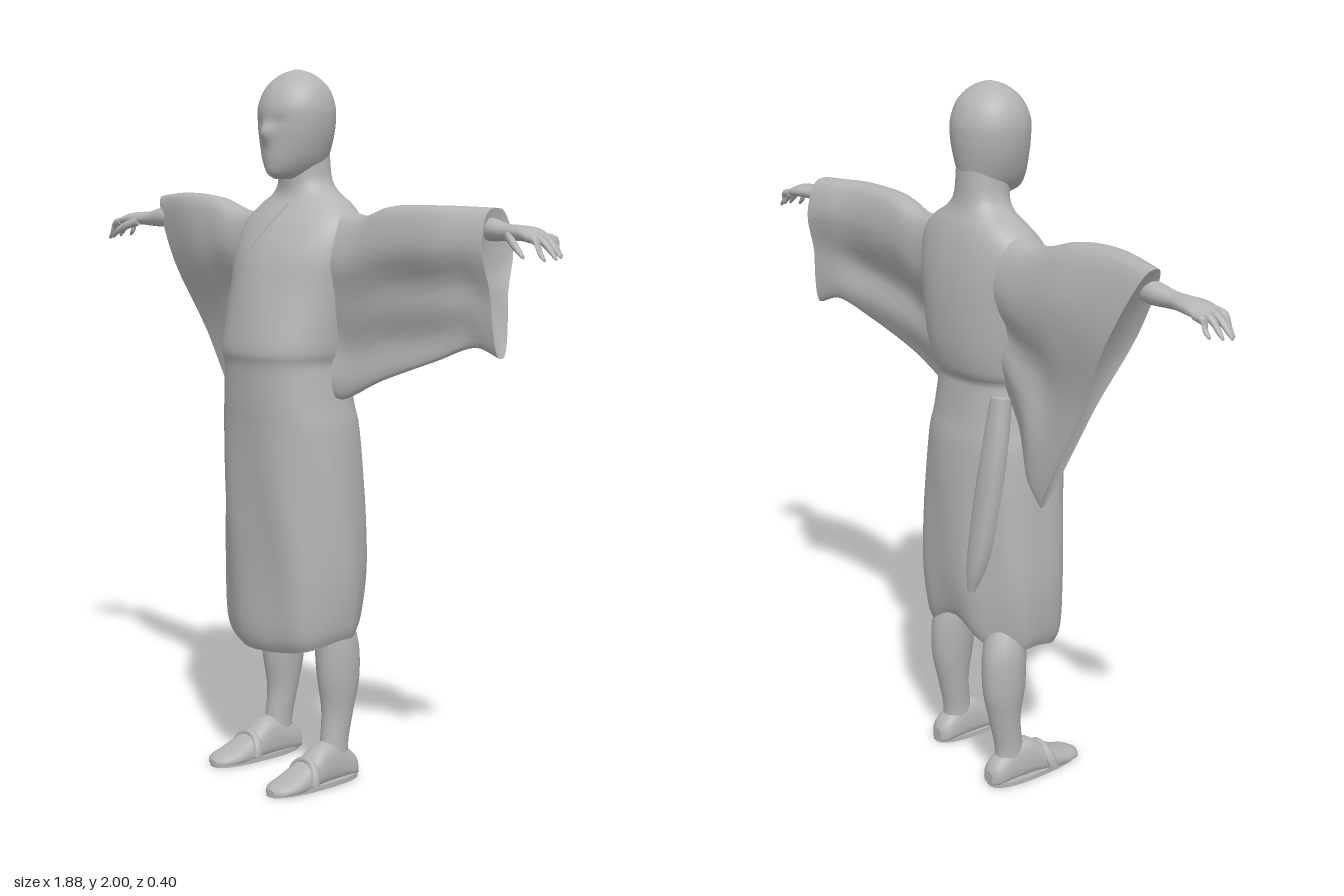
import * as THREE from 'three';

const grey = new THREE.MeshStandardMaterial({ color: 0xb4b4b4, side: THREE.DoubleSide });
grey.name = 'plain grey';

// Catmull-Rom resampling of every column in a short table
function smooth(rows, n) {
  const out = [], last = rows.length - 1;
  for (let i = 0; i <= last * n; i++) {
    const k = Math.min(Math.floor(i / n), last - 1), t = i / n - k;
    const [a, b, c, d] = [k - 1, k, k + 1, k + 2].map(j => rows[Math.min(Math.max(j, 0), last)]);
    out.push(b.map((_, q) => 0.5 * (2 * b[q] + (c[q] - a[q]) * t
      + (2 * a[q] - 5 * b[q] + 4 * c[q] - d[q]) * t * t
      + (3 * b[q] - a[q] - 3 * c[q] + d[q]) * t * t * t)));
  }
  return out;
}

// Skin over closed rings; dents push the end caps along an axis
function loft(name, rows, ring, { n = 4, seg = 28, startDent = [0, 0, 0], endDent = [0, 0, 0] } = {}) {
  const list = smooth(rows, n), pos = [], idx = [];
  list.forEach((r, i) => {
    for (let j = 0; j < seg; j++) pos.push(...ring(r, j / seg * Math.PI * 2, i / (list.length - 1)));
  });
  for (let i = 0; i < list.length - 1; i++) for (let j = 0; j < seg; j++) {
    const a = i * seg + j, b = i * seg + (j + 1) % seg;
    idx.push(a, b, b + seg, a, b + seg, a + seg);
  }
  [[0, startDent], [list.length - 1, endDent]].forEach(([i, dent], end) => {
    const c = [0, 0, 0], base = pos.length / 3;
    const edge = pos.slice(i * seg * 3, (i + 1) * seg * 3);
    edge.forEach((v, q) => { c[q % 3] += v / seg; });
    pos.push(...edge, ...c.map((v, q) => v + dent[q]));
    for (let j = 0; j < seg; j++) {
      const a = base + j, b = base + (j + 1) % seg;
      idx.push(...(end ? [a, b, base + seg] : [b, a, base + seg]));
    }
  });
  // turn the faces outwards when the rings run the other way
  const V = [0, 1, 2].map(() => new THREE.Vector3());
  let vol = 0;
  for (let i = 0; i < idx.length; i += 3) {
    V.forEach((v, q) => v.fromArray(pos, idx[i + q] * 3));
    vol += V[0].dot(V[1].cross(V[2]));
  }
  if (vol < 0) idx.reverse();
  const g = new THREE.BufferGeometry();
  g.setAttribute('position', new THREE.Float32BufferAttribute(pos, 3));
  g.setIndex(idx);
  g.computeVertexNormals();
  const m = new THREE.Mesh(g, grey);
  m.name = name;
  return m;
}

const pw = (v, p) => Math.sign(v) * Math.abs(v) ** p;
// Ring kinds: upright rows are [y, half width, front z, back z, centre x]
const upright = (p = 1) => ([y, w, f, b, cx = 0], a) =>
  [cx + w * pw(Math.sin(a), p), y, (f + b) / 2 + (f - b) / 2 * pw(Math.cos(a), p)];
// Limb rows along x are [x, y, z, half height, half depth]
const sideways = ([x, y, z, h, d], a) => [x, y + h * Math.cos(a), z + d * Math.sin(a)];

const robeRows = [
  [0.40, 0.195, 0.115, -0.168], [0.45, 0.21, 0.135, -0.18], [0.6, 0.222, 0.14, -0.19],
  [0.8, 0.215, 0.15, -0.185], [1.0, 0.205, 0.155, -0.175], [1.08, 0.192, 0.16, -0.162],
  [1.17, 0.18, 0.164, -0.152], [1.2, 0.179, 0.168, -0.152], [1.23, 0.188, 0.174, -0.17],
  [1.3, 0.195, 0.165, -0.185], [1.4, 0.205, 0.145, -0.19], [1.5, 0.215, 0.115, -0.185],
  [1.58, 0.205, 0.07, -0.17], [1.63, 0.16, 0.032, -0.155], [1.66, 0.11, 0.015, -0.142],
  [1.70, 0.075, 0.016, -0.132], [1.78, 0.067, 0.03, -0.128]];
// boxy skirt and back, rounder chest
const chestPower = y => 0.86 + 0.2 * THREE.MathUtils.smoothstep(y, 1.2, 1.42);

// Robe with a wavy hem, raised at the back, and soft skirt folds
function robeRing(r, a) {
  const cos = Math.cos(a), [x, y, z] = upright(cos > 0 ? chestPower(r[0]) : 0.86)(r, a);
  const hem = Math.max(0, 1 - (y - 0.4) / 0.25), back = Math.max(0, -cos);
  const fold = y < 1.05 ? 0.005 * Math.sin(7 * a + y * 5) * Math.min(1, (1.05 - y) * 4) : 0;
  return [x + fold * Math.sin(a), y + hem * (0.018 - 0.04 * Math.max(0, cos) + 0.07 * back ** 9),
    z + fold * cos];
}

function robeFront(x, y) {
  const i = robeRows.findIndex(r => r[0] >= y), A = robeRows[i - 1], B = robeRows[i], p = chestPower(y);
  const t = (y - A[0]) / (B[0] - A[0]), [w, f, b] = [1, 2, 3].map(q => A[q] + (B[q] - A[q]) * t);
  return (f + b) / 2 + (f - b) / 2 * Math.max(0, 1 - Math.abs(x / w) ** (2 / p)) ** (p / 2);
}

// Sleeve rows: top point, bottom point, thickness at the arm and at the hanging edge
const sleeveRing = ([tx, ty, tz, bx, by, bz, hT, hB], a, t) => {
  const s = (1 - Math.cos(a)) / 2, k = THREE.MathUtils.smoothstep(s, 0.22, 0.62);
  const fold = 0.016 * Math.sin(s * 16 - t * 4) * k * Math.sin(Math.PI * Math.min(1, t + 0.1)) * (1 - s * 0.5);
  return [tx + (bx - tx) * s, ty + (by - ty) * s,
    tz + (bz - tz) * s + pw(Math.sin(a), 0.65) * (hT + (hB - hT) * k) + fold];
};
const leftSleeve = [
  [0.10, 1.63, -0.07, 0.12, 1.16, -0.02, 0.09, 0.05], [0.25, 1.603, -0.065, 0.20, 1.10, -0.02, 0.082, 0.022],
  [0.38, 1.632, -0.05, 0.36, 1.165, -0.03, 0.072, 0.016], [0.55, 1.636, -0.045, 0.54, 1.23, -0.05, 0.068, 0.018],
  [0.65, 1.634, -0.07, 0.65, 1.272, -0.075, 0.066, 0.026], [0.71, 1.632, -0.085, 0.73, 1.248, -0.09, 0.064, 0.032]];
const rightSleeve = [
  [-0.10, 1.63, -0.07, -0.12, 1.2, -0.06, 0.09, 0.06], [-0.25, 1.605, -0.07, -0.19, 1.11, -0.09, 0.082, 0.035],
  [-0.40, 1.645, -0.07, -0.25, 1.055, -0.13, 0.075, 0.02], [-0.55, 1.655, -0.075, -0.30, 0.985, -0.15, 0.07, 0.018],
  [-0.72, 1.645, -0.11, -0.37, 0.93, -0.162, 0.06, 0.022]];

function makeHand() {
  const g = new THREE.Group();
  g.add(loft('forearm', [[0.65, 1.578, -0.078, 0.024, 0.022], [0.70, 1.578, -0.076, 0.03, 0.03],
    [0.76, 1.572, -0.07, 0.022, 0.027], [0.80, 1.572, -0.07, 0.02, 0.036],
    [0.85, 1.568, -0.068, 0.019, 0.046], [0.885, 1.556, -0.066, 0.011, 0.042]], sideways, { seg: 16 }));
  [-0.103, -0.078, -0.053, -0.03].forEach((z, i) => {
    const reach = [0.915, 0.935, 0.942, 0.925][i];
    g.add(loft('finger', [[0.865, 1.562, z, 0.011, 0.012], [0.895, 1.555, z, 0.011, 0.011],
      [reach - 0.015, 1.535 - 0.003 * i, z, 0.009, 0.009], [reach, 1.518 - 0.003 * i, z, 0.004, 0.005]],
    sideways, { seg: 10, n: 3 }));
  });
  g.add(loft('thumb', [[0.79, 1.565, -0.045, 0.014, 0.014], [0.825, 1.55, -0.022, 0.013, 0.013],
    [0.855, 1.532, -0.01, 0.01, 0.01], [0.875, 1.515, -0.008, 0.005, 0.005]], sideways, { seg: 10, n: 3 }));
  return g;
}

function makeLeg() {
  const g = new THREE.Group();
  g.add(loft('leg', [[0.53, 0.045, 0.03, -0.07, 0.115], [0.42, 0.057, 0.01, -0.122, 0.137],
    [0.3, 0.053, 0.003, -0.13, 0.143], [0.2, 0.042, -0.012, -0.11, 0.143], [0.1, 0.036, -0.002, -0.09, 0.145],
    [0.04, 0.04, 0.01, -0.1, 0.147]], upright(), { seg: 20 }));
  // foot rows: z, half width, height, centre x
  g.add(loft('foot', [[-0.122, 0.018, 0.045, 0.145], [-0.105, 0.036, 0.07, 0.146], [-0.05, 0.041, 0.11, 0.146],
    [0.01, 0.045, 0.115, 0.148], [0.07, 0.05, 0.076, 0.15], [0.13, 0.052, 0.046, 0.153],
    [0.175, 0.042, 0.032, 0.154], [0.197, 0.018, 0.02, 0.154]],
  ([z, w, h, cx], a) => [cx + w * pw(Math.sin(a), 0.75) * (1 - 0.18 * Math.cos(a)),
    Math.max(0.008, h / 2 + h / 2 * pw(Math.cos(a), 0.75)), z], { seg: 20 }));
  g.add(loft('sandalSole', [[0, 0.052, 0.2, -0.122, 0.151], [0.014, 0.052, 0.2, -0.122, 0.151]],
    upright(0.8), { n: 1 }));
  const strap = new THREE.Mesh(new THREE.TorusGeometry(0.053, 0.009, 8, 24, Math.PI), grey);
  strap.name = 'sandalStrap';
  strap.scale.set(1, 1.15, 1.8);
  strap.position.set(0.15, 0.018, 0.075);
  strap.rotation.x = -0.25;
  g.add(strap);
  return g;
}

export function createModel() {
  const model = new THREE.Group();
  model.name = 'robedFigure';
  model.add(loft('robe', robeRows, robeRing, { seg: 48, startDent: [0, 0.15, 0] }));
  model.add(loft('leftSleeve', leftSleeve, sleeveRing, { n: 8, seg: 40, endDent: [-0.05, 0, 0.015] }));
  model.add(loft('rightSleeve', rightSleeve, sleeveRing, { n: 8, seg: 40, endDent: [0.045, 0.02, 0.008] }));

  // Head with a small nose and shallow eye sockets
  model.add(loft('head', [[1.70, 0.03, 0.045, -0.1], [1.715, 0.05, 0.068, -0.112], [1.75, 0.075, 0.076, -0.124],
    [1.8, 0.095, 0.078, -0.134], [1.85, 0.106, 0.08, -0.14], [1.9, 0.107, 0.078, -0.138],
    [1.95, 0.089, 0.055, -0.118], [1.985, 0.052, 0.015, -0.078], [2.0, 0.008, -0.025, -0.04]],
  (r, a) => {
    const [x, y, z] = upright()(r, a), front = z > 0 ? 1 : 0;
    const nose = 0.02 * Math.exp(-((x / 0.018) ** 2) - ((y - 1.825) / 0.025) ** 2);
    const eyes = 0.004 * Math.exp(-(((Math.abs(x) - 0.038) / 0.02) ** 2) - ((y - 1.855) / 0.015) ** 2);
    return [x, y, z + front * (nose - eyes)];
  }, { n: 6, seg: 48 }));

  for (const side of [1, -1]) {
    const hand = makeHand(), leg = makeLeg();
    hand.name = side > 0 ? 'leftHand' : 'rightHand';
    leg.name = side > 0 ? 'leftLeg' : 'rightLeg';
    hand.scale.x = leg.scale.x = side;
    if (side < 0) { leg.position.set(-0.008, 0, -0.045); hand.position.z = -0.015; }
    model.add(hand, leg);
  }

  // Crossed collar edge lying on the robe
  const path = [[0.03, 1.635], [0.012, 1.59], [-0.03, 1.52], [-0.08, 1.44], [-0.125, 1.37], [-0.16, 1.29]]
    .map(([x, y]) => new THREE.Vector3(x, y, robeFront(x, y)));
  const collar = new THREE.Mesh(new THREE.TubeGeometry(new THREE.CatmullRomCurve3(path), 30, 0.004, 6), grey);
  collar.name = 'collarEdge';
  model.add(collar);

  // Sash tail hanging at the back, narrowing to its tip
  model.add(loft('sashTail', [[1.17, 0.03, -0.08, -0.13, -0.135], [1.0, 0.04, -0.1, -0.163, -0.135],
    [0.8, 0.04, -0.12, -0.186, -0.12], [0.68, 0.03, -0.14, -0.196, -0.108], [0.6, 0.012, -0.15, -0.192, -0.095]],
  upright(0.8), { seg: 16 }));
  return model;
}
